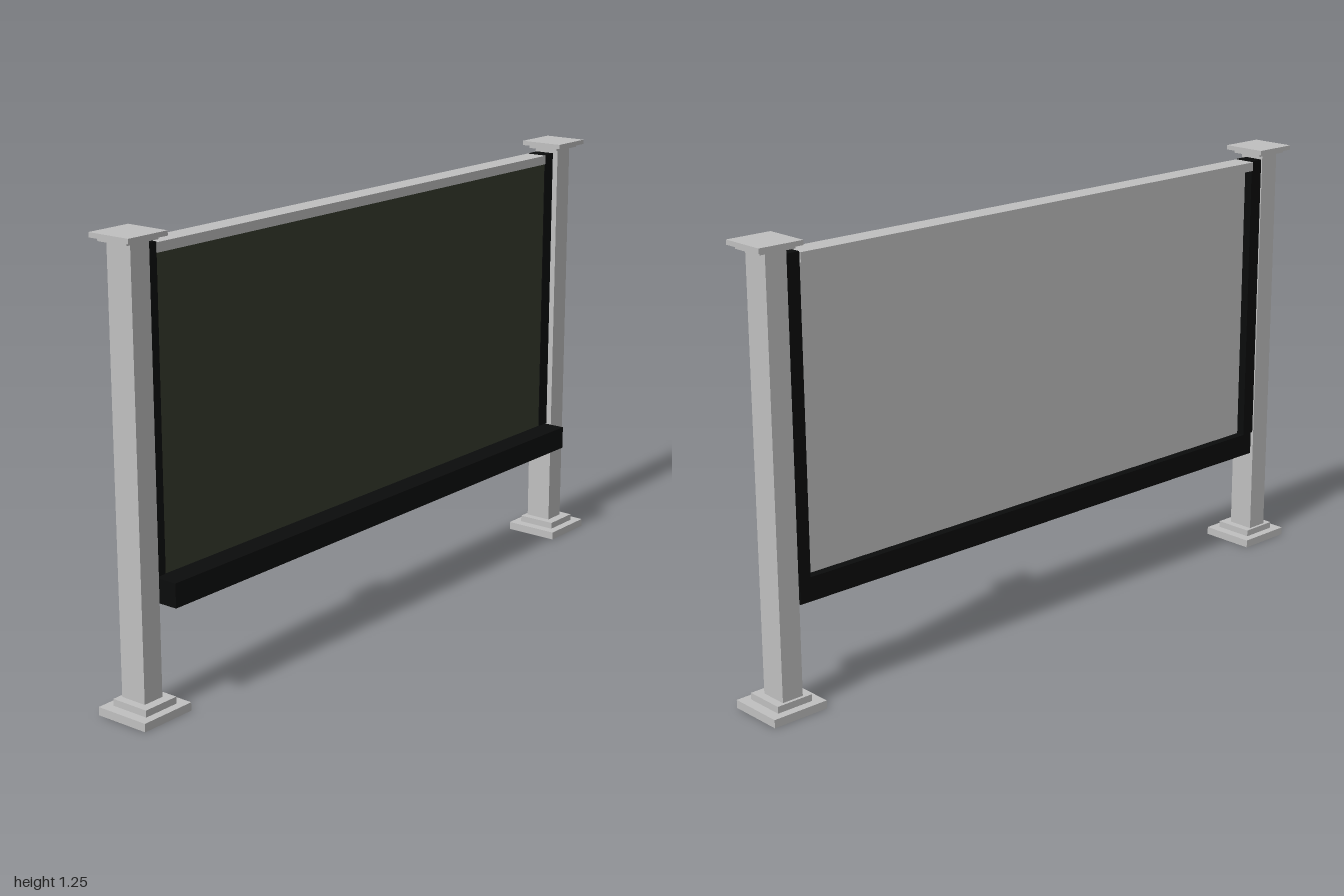
import * as THREE from 'three';

export function createModel() {
  const model = new THREE.Group();
  model.name = 'screenBarrier';

  const mat = (name, color) => {
    const m = new THREE.MeshStandardMaterial({ color });
    m.name = name;
    return m;
  };
  const grey = mat('lightGrey', 0xc0c0c0);
  const olive = mat('darkOlive', 0x363c2e);
  const black = mat('black', 0x0b0c0c);

  // Box given by its extents on each axis
  const box = (parent, name, material, [x0, x1], [y0, y1], [z0, z1]) => {
    const mesh = new THREE.Mesh(new THREE.BoxGeometry(x1 - x0, y1 - y0, z1 - z0), material);
    mesh.position.set((x0 + x1) / 2, (y0 + y1) / 2, (z0 + z1) / 2);
    mesh.name = name;
    parent.add(mesh);
  };

  // Stacked tiers of a post: name, half width, bottom, top, back, front
  const tiers = [
    ['basePlate', 0.084, 0, 0.023, -0.082, 0.082],
    ['baseStep', 0.055, 0.023, 0.042, -0.058, 0.058],
    ['postShaft', 0.032, 0.042, 1.228, -0.049, 0.031],
    ['capStep', 0.054, 1.228, 1.237, -0.057, 0.041],
    ['capPlate', 0.067, 1.237, 1.25, -0.073, 0.06],
  ];

  for (const side of [-1, 1]) {
    const post = new THREE.Group();
    post.name = side > 0 ? 'leftPost' : 'rightPost';
    for (const [name, w, y0, y1, z0, z1] of tiers) {
      box(post, name, grey, [-w, w], [y0, y1], [z0, z1]);
    }
    post.position.x = side * 0.915;
    model.add(post);

    // Side channel holding the screen
    const xs = [side * 0.841, side * 0.883].sort((a, b) => a - b);
    box(model, side > 0 ? 'leftChannel' : 'rightChannel', black, xs, [0.36, 1.216], [-0.045, 0.014]);
  }

  // Horizontal members
  box(model, 'topRail', grey, [-0.841, 0.841], [1.188, 1.214], [-0.05, 0.016]);
  box(model, 'bottomBar', black, [-0.876, 0.876], [0.293, 0.36], [-0.045, 0.081]);

  // Screen: grey backing with a dark face
  box(model, 'screenBacking', grey, [-0.841, 0.841], [0.36, 1.188], [-0.02, 0.006]);
  box(model, 'screenFace', olive, [-0.841, 0.841], [0.36, 1.188], [0.006, 0.012]);

  return model;
}
